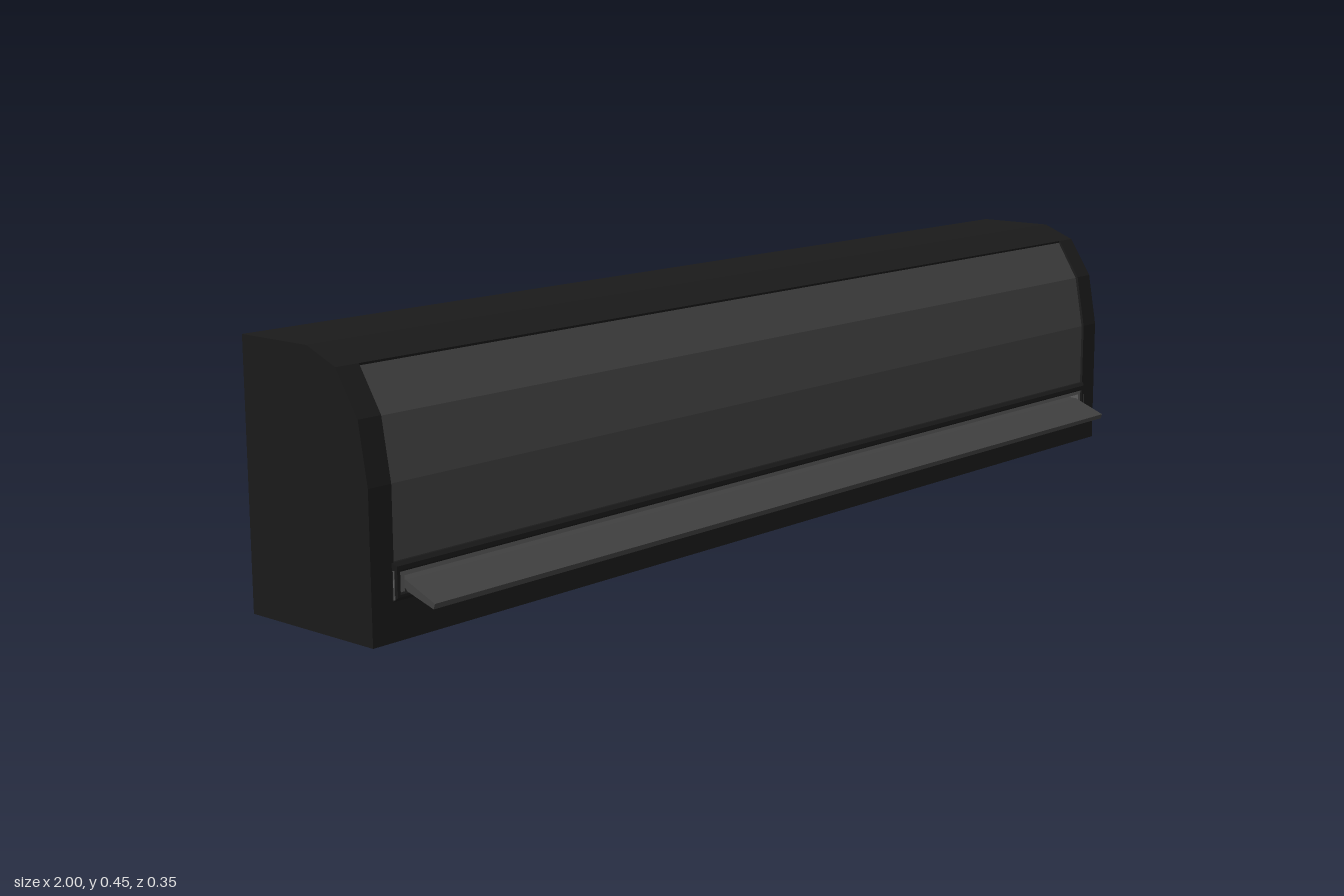
import * as THREE from 'three';

const mat = (color) => new THREE.MeshStandardMaterial({ color, flatShading: true });

// Extrudes a [z, y] profile along x, from x0 to x1
function prism(name, pts, x0, x1, material) {
  const shape = new THREE.Shape(pts.map(([z, y]) => new THREE.Vector2(-z, y)));
  const geo = new THREE.ExtrudeGeometry(shape, { depth: x1 - x0, bevelEnabled: false });
  geo.rotateY(Math.PI / 2);
  geo.translate(x0, 0, 0);
  const mesh = new THREE.Mesh(geo, material);
  mesh.name = name;
  return mesh;
}

// Rectangle path centred on x = 0
function rect(Type, hx, y0, y1) {
  return new Type([[-hx, y0], [hx, y0], [hx, y1], [-hx, y1]].map((p) => new THREE.Vector2(...p)));
}

export function createModel() {
  const group = new THREE.Group();
  const dark = mat(0x1a1a1a);
  const panelGrey = mat(0x404040);
  const trimGrey = mat(0x5c5c5c);
  const inner = 0.955;

  // End caps carry the full rounded profile
  const capProfile = [
    [-0.175, 0], [0.11, 0], [0.11, 0.245], [0.092, 0.347],
    [0.045, 0.42], [-0.02, 0.446], [-0.175, 0.446],
  ];
  group.add(prism('leftEndCap', capProfile, inner, 1, dark));
  group.add(prism('rightEndCap', capProfile, -1, -inner, dark));

  // Middle housing: open slot at the front, and a shallow seat for the panel
  const housingProfile = [
    [-0.175, 0], [0.11, 0], [0.11, 0.068], [0.06, 0.068], [0.06, 0.112],
    [0.11, 0.112], [0.11, 0.122], [0.095, 0.122], [0.095, 0.243], [0.078, 0.34],
    [0.037, 0.407], [0.045, 0.42], [-0.02, 0.446], [-0.175, 0.446],
  ];
  group.add(prism('housing', housingProfile, -inner, inner, dark));

  // Faceted front panel, set just below the end caps
  const panelProfile = [
    [0.09, 0.124], [0.105, 0.124], [0.105, 0.244], [0.087, 0.345],
    [0.043, 0.416], [0.035, 0.405], [0.074, 0.338], [0.09, 0.243],
  ];
  group.add(prism('frontPanel', panelProfile, -inner, inner, panelGrey));

  // Bevelled frame around the air outlet
  const outline = rect(THREE.Shape, 0.953, 0.069, 0.118);
  outline.holes.push(rect(THREE.Path, 0.948, 0.073, 0.111));
  const frameGeo = new THREE.ExtrudeGeometry(outline, {
    depth: 0.006, bevelSize: 0.006, bevelThickness: 0.005, bevelOffset: 0, bevelSegments: 1,
  });
  frameGeo.translate(0, 0, 0.104);
  const frame = new THREE.Mesh(frameGeo, dark);
  frame.name = 'outletFrame';
  group.add(frame);

  // Lighter lining inside the outlet
  const lining = rect(THREE.Shape, 0.958, 0.066, 0.112);
  lining.holes.push(rect(THREE.Path, 0.937, 0.071, 0.101));
  const liningGeo = new THREE.ExtrudeGeometry(lining, { depth: 0.05, bevelEnabled: false });
  liningGeo.translate(0, 0, 0.0625);
  const trim = new THREE.Mesh(liningGeo, trimGrey);
  trim.name = 'outletLining';
  group.add(trim);

  // Tilted air flap
  const flapProfile = [[0.085, 0.094], [0.081, 0.085], [0.172, 0.058], [0.175, 0.067], [0.11, 0.093]];
  group.add(prism('airFlap', flapProfile, -0.933, 0.933, panelGrey));

  return group;
}
